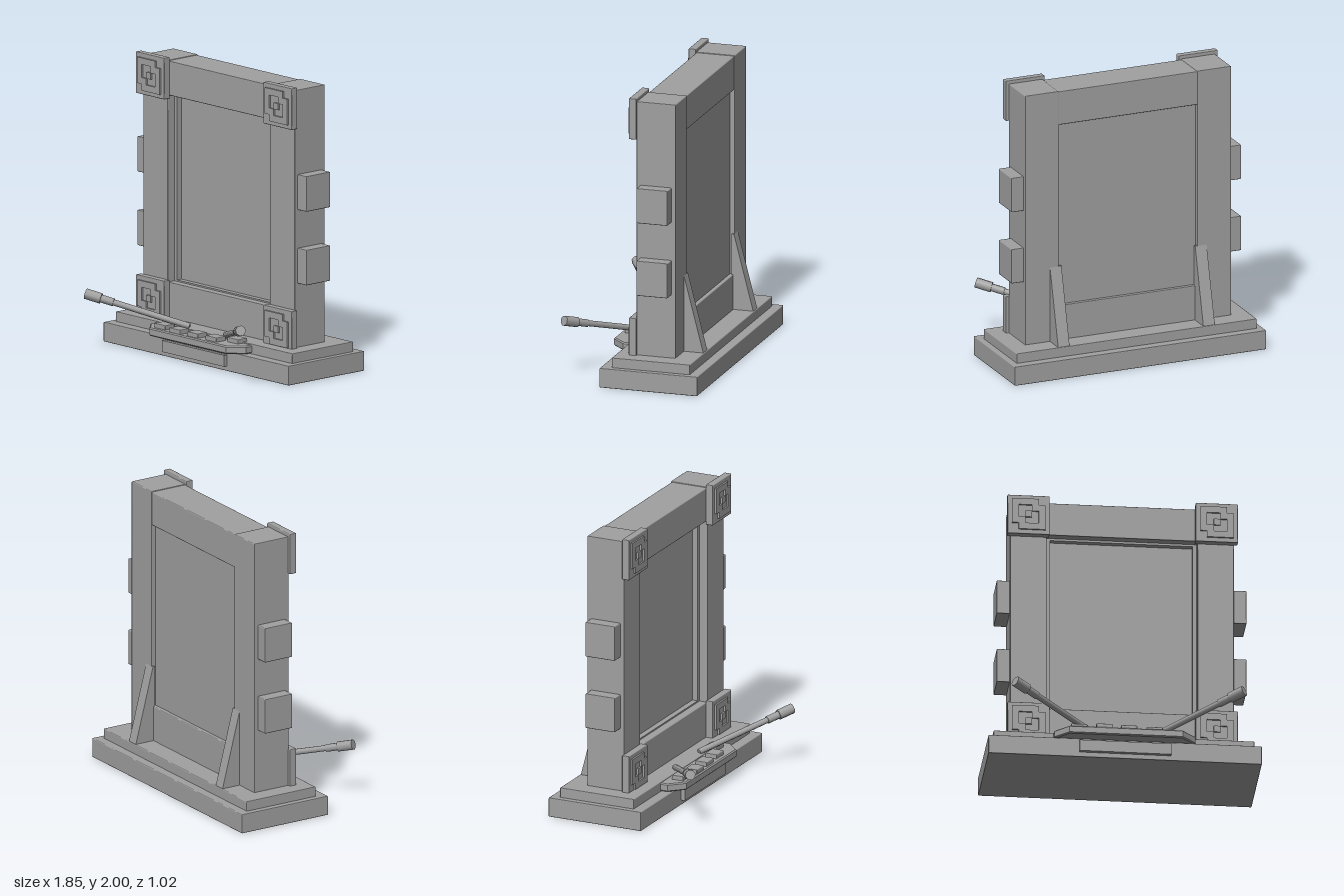
import * as THREE from 'three';
import { RoundedBoxGeometry } from 'three/addons/geometries/RoundedBoxGeometry.js';

const grey = new THREE.MeshStandardMaterial({ color: 0xa0a0a0 });
grey.name = 'grey';

function add(parent, name, geometry) {
  const mesh = new THREE.Mesh(geometry, grey);
  mesh.name = name;
  parent.add(mesh);
  return mesh;
}

// Box given by its limits on each axis, with slightly eased edges if bevel > 0
function block(parent, name, [x0, x1], [y0, y1], [z0, z1], bevel = 0.006) {
  const size = [x1 - x0, y1 - y0, z1 - z0];
  const geometry = bevel ? new RoundedBoxGeometry(...size, 1, bevel) : new THREE.BoxGeometry(...size);
  const mesh = add(parent, name, geometry);
  mesh.position.set((x0 + x1) / 2, (y0 + y1) / 2, (z0 + z1) / 2);
  return mesh;
}

// Limits on the model's left (+1) or right (-1)
const sided = (s, a, b) => (s > 0 ? [a, b] : [-b, -a]);

// Square corner plate with a raised key pattern on a 5 x 5 grid
function cornerPlate(parent, cx, cy) {
  const group = new THREE.Group();
  group.name = 'cornerPlate';
  group.position.set(cx, cy, 0);
  parent.add(group);
  block(group, 'plate', [-0.143, 0.143], [-0.143, 0.143], [-0.025, 0.027]);
  const c = 0.045;
  // first column, first row, columns, rows
  const bars = [
    [0, 0, 4, 1], [0, 1, 1, 3], [4, 1, 1, 4], [1, 4, 3, 1],
    [3, 1, 1, 1], [1, 3, 1, 1], [2, 2, 1, 1],
  ];
  for (const [col, row, w, h] of bars) {
    block(group, 'keyPattern', [(col - 2.5) * c, (col + w - 2.5) * c],
      [(2.5 - row - h) * c, (2.5 - row) * c], [0.02, 0.04], 0);
  }
}

// Lever built along +y, then aimed from its pivot to its tip
function lever(parent, s) {
  const from = new THREE.Vector3(s * 0.18, 0.212, 0.08);
  const to = new THREE.Vector3(s * 0.775, 0.4, 0.487);
  const dir = to.clone().sub(from);
  const length = dir.length();
  const group = new THREE.Group();
  group.name = s > 0 ? 'leftLever' : 'rightLever';
  group.position.copy(from);
  group.quaternion.setFromUnitVectors(new THREE.Vector3(0, 1, 0), dir.normalize());
  parent.add(group);
  const parts = [['rod', 0.021, 0, 0.8], ['collar', 0.027, 0.73, 0.88], ['grip', 0.036, 0.85, 1]];
  for (const [name, r, a, b] of parts) {
    add(group, name, new THREE.CylinderGeometry(r, r, (b - a) * length, 8))
      .position.y = (a + b) / 2 * length;
  }
}

export function createModel() {
  const model = new THREE.Group();
  model.name = 'framedPanelStand';

  // Stepped base with a blank plate on its front
  block(model, 'base', [-0.925, 0.925], [0, 0.135], [-0.505, 0.188]);
  block(model, 'baseStep', [-0.883, 0.883], [0.13, 0.203], [-0.44, 0.115]);
  block(model, 'frontPlate', [-0.31, 0.31], [0.034, 0.113], [0.18, 0.215], 0);

  // Frame beams and recessed panel
  block(model, 'topBeam', [-0.52, 0.52], [1.735, 1.972], [-0.292, -0.024]);
  block(model, 'bottomBeam', [-0.52, 0.52], [0.19, 0.447], [-0.292, -0.024]);
  block(model, 'panel', [-0.515, 0.515], [0.43, 1.75], [-0.265, -0.12], 0);

  // Trim around the panel
  block(model, 'trimTop', [-0.515, 0.515], [1.72, 1.745], [-0.2, -0.08], 0);
  block(model, 'trimBottom', [-0.515, 0.515], [0.435, 0.457], [-0.2, -0.08], 0);

  for (const s of [1, -1]) {
    block(model, 'column', sided(s, 0.51, 0.758), [0.19, 1.977], [-0.297, -0.02]);
    block(model, 'trimSide', sided(s, 0.482, 0.515), [0.44, 1.74], [-0.2, -0.08], 0);

    // Blocks on the outer side of the column
    for (const y of [0.764, 1.272]) {
      block(model, 'sideBlock', sided(s, 0.74, 0.845), [y - 0.122, y + 0.122], [-0.268, -0.048]);
    }

    cornerPlate(model, s * 0.637, 1.857);
    cornerPlate(model, s * 0.637, 0.32);

    // Wedge brace behind the column
    const profile = new THREE.Shape([
      new THREE.Vector2(0.28, 0.19), new THREE.Vector2(0.437, 0.19),
      new THREE.Vector2(0.297, 0.73), new THREE.Vector2(0.28, 0.73),
    ]);
    const brace = add(model, 'backBrace',
      new THREE.ExtrudeGeometry(profile, { depth: 0.084, bevelEnabled: false }));
    brace.rotation.y = Math.PI / 2;
    brace.position.x = s * 0.534 - 0.042;

    lever(model, s);
  }

  // Control tray with chamfered front corners
  const outline = new THREE.Shape([[-0.47, -0.08], [-0.47, -0.165], [-0.38, -0.255],
    [0.38, -0.255], [0.47, -0.165], [0.47, -0.08]].map((p) => new THREE.Vector2(...p)));
  const tray = add(model, 'controlTray', new THREE.ExtrudeGeometry(outline,
    { depth: 0.04, bevelThickness: 0.008, bevelSize: 0.008, bevelSegments: 1 }));
  tray.rotation.x = -Math.PI / 2;
  tray.position.y = 0.147;

  // Buttons on the tray
  for (const [x, z] of [[-0.315, 0.188], [-0.146, 0.208], [0.022, 0.198], [0.196, 0.188], [0.335, 0.118]]) {
    block(model, 'button', [x - 0.055, x + 0.055], [0.185, 0.225], [z - 0.043, z + 0.043]);
  }

  return model;
}
